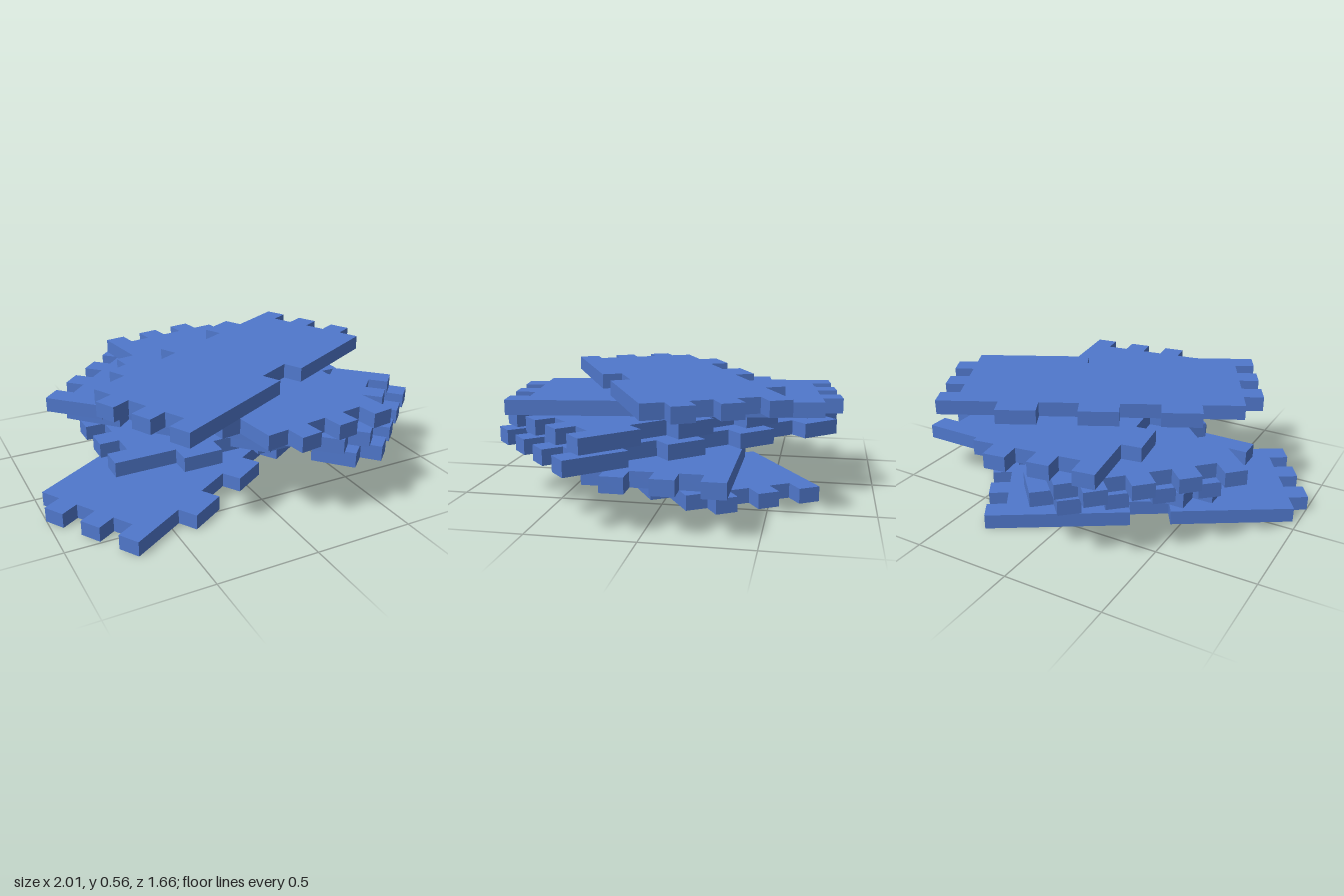
import * as THREE from 'three';

const LENGTH = 1.62, THICK = 0.074, DEPTH = 0.1, FINGER = 0.1085;
const material = new THREE.MeshStandardMaterial({ color: 0x5078cc, flatShading: true });

// Walks an edge whose level changes at every break.
function steps(breaks, levels, start, end, put) {
  put(start, levels[0]);
  breaks.forEach((b, i) => {
    put(b, levels[i]);
    put(b, levels[i + 1]);
  });
  put(end, levels[levels.length - 1]);
}

// Flat finger-jointed plate: `back` and `front` describe the long edges,
// `fingers` is the number of alternating steps on each short end.
function plateGeometry(fingers, back, front) {
  const w = fingers * FINGER, pts = [];
  const out = LENGTH / 2, inn = out - DEPTH;
  const put = (x, z) => {
    const p = pts[pts.length - 1];
    if (!p || Math.hypot(p.x - x, p.y - z) > 1e-5) pts.push(new THREE.Vector2(x, z));
  };
  const endBreaks = [], endLevels = [out];
  for (let i = 1; i < fingers; i++) {
    endBreaks.push(-w / 2 + i * FINGER);
    endLevels.push(i % 2 ? inn : out);
  }
  // back edge, right end, front edge, left end
  steps(back.breaks, back.levels.map(l => -w / 2 - l * DEPTH), -inn, out, put);
  steps(endBreaks, endLevels, -w / 2, w / 2, (z, x) => put(x, z));
  steps(front.breaks, front.levels.map(l => w / 2 + l * DEPTH), inn, -out, put);
  steps(endBreaks, endLevels, -w / 2, w / 2, (z, x) => put(-x, -z));
  const first = pts[0], last = pts[pts.length - 1];
  if (first.distanceTo(last) < 1e-5) pts.pop();
  const geo = new THREE.ExtrudeGeometry(new THREE.Shape(pts), { depth: THICK, bevelEnabled: false });
  return geo.rotateX(Math.PI / 2).translate(0, THICK, 0);
}

export function createModel() {
  const model = new THREE.Group();
  model.name = 'stackedPlates';

  const comb = [-0.5, -0.3, -0.1, 0.1, 0.3, 0.5];
  const reversed = comb.map(b => -b);

  // Narrow plate: three tabs on one side, one middle notch on the other
  const narrow = plateGeometry(6,
    { breaks: comb, levels: [0, 1, 0, 1, 0, 1, 0] },
    { breaks: [0.1, -0.1], levels: [0, -1, 0] });

  // Wide plate: three notches on both long sides
  const wideLevels = [0, -1, 0, -1, 0, -1, 0];
  const wide = plateGeometry(8,
    { breaks: comb, levels: wideLevels },
    { breaks: reversed, levels: wideLevels });

  // name, geometry, x, y, z, turn in degrees
  const plates = [
    ['bottomPlate', narrow, -0.2, 0, -0.03, 211.9],
    ['straightPlate', narrow, 0.14, 0.187, -0.041, 180],
    ['lowerWidePlate', wide, 0.142, 0.262, 0.008, -47.5],
    ['upperWidePlate', wide, 0.046, 0.338, 0.002, -45],
    ['crossPlate', narrow, 0.105, 0.413, 0, 97.9],
    ['topPlate', narrow, 0.097, 0.487, 0.046, 27],
  ];
  for (const [name, geo, x, y, z, turn] of plates) {
    const mesh = new THREE.Mesh(geo, material);
    mesh.name = name;
    mesh.position.set(x, y, z);
    mesh.rotation.y = THREE.MathUtils.degToRad(turn);
    model.add(mesh);
  }
  return model;
}
